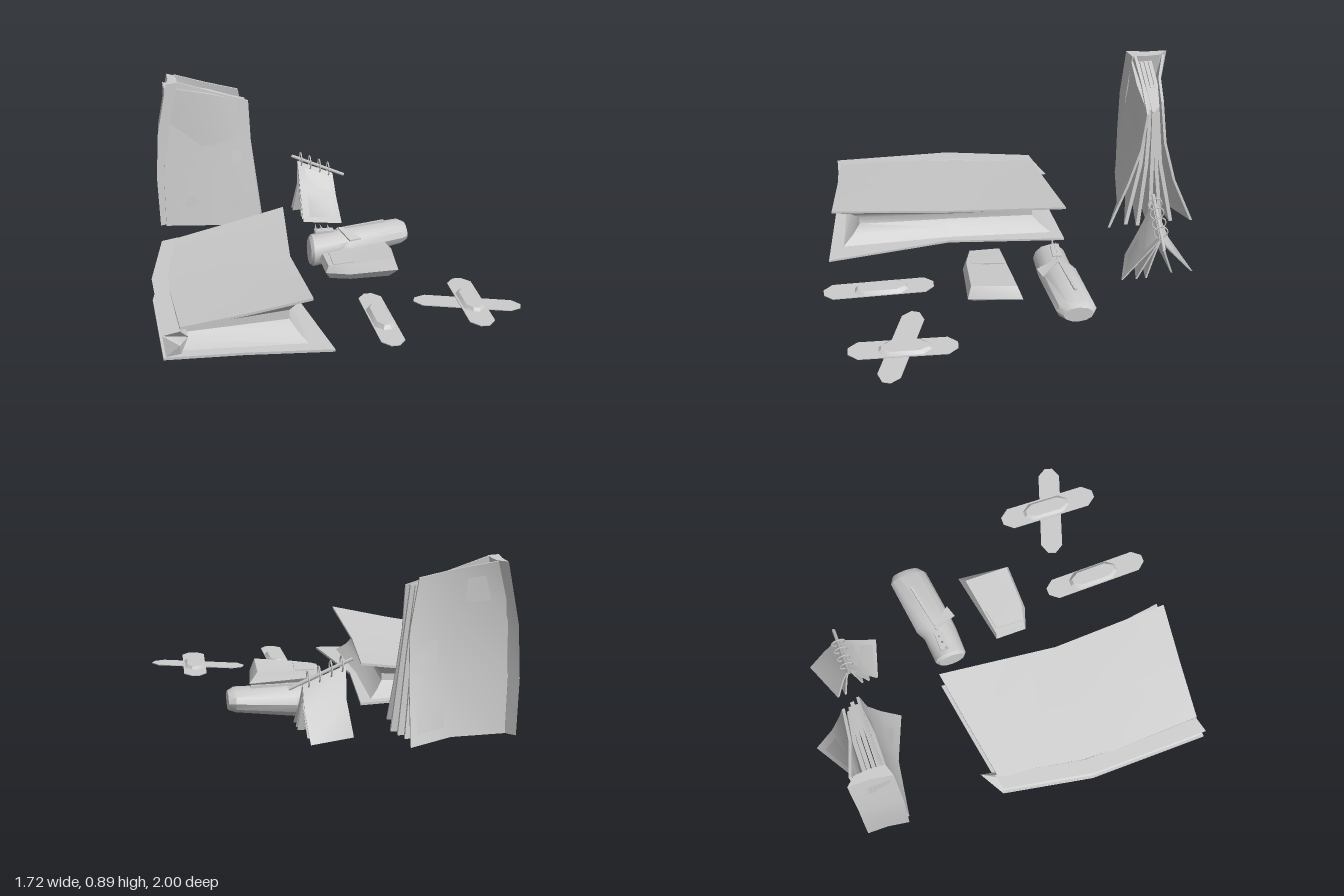
import * as THREE from 'three';
import { toCreasedNormals } from 'three/addons/utils/BufferGeometryUtils.js';

const material = new THREE.MeshStandardMaterial({ color: 0xcccccc, side: THREE.DoubleSide });
const lerp = THREE.MathUtils.lerp;

// Closed solid skinned through rings of equal point count
function loft(rings) {
  const tris = [], n = rings[0].length;
  const quad = (a, b, c, d) => tris.push([a, b, c], [a, c, d]);
  for (let i = 0; i + 1 < rings.length; i++)
    for (let j = 0; j < n; j++) {
      const k = (j + 1) % n;
      quad(rings[i][j], rings[i][k], rings[i + 1][k], rings[i + 1][j]);
    }
  const cap = (r, flip) => {
    for (let j = 0; j + 1 <= n - 2 - j; j++) {
      const q = [r[j], r[n - 1 - j], r[n - 2 - j], r[j + 1]];
      if (flip) q.reverse();
      quad(...q);
    }
  };
  cap(rings[0], false);
  cap(rings[rings.length - 1], true);
  // turn the faces outward
  let volume = 0;
  const v = tris.map(t => t.map(p => new THREE.Vector3(...p)));
  for (const [a, b, c] of v) volume += a.dot(b.clone().cross(c));
  const out = v.flatMap(([a, b, c]) => (volume < 0 ? [a, c, b] : [a, b, c]));
  return toCreasedNormals(new THREE.BufferGeometry().setFromPoints(out), 0.6);
}

// Thin board: each row of points is closed with an offset copy
const sheet = (rows, [dx, dy, dz]) =>
  loft(rows.map(r => [...r, ...r.map(p => [p[0] + dx, p[1] + dy, p[2] + dz]).reverse()]));

function add(parent, name, geometry) {
  const mesh = new THREE.Mesh(geometry, material);
  mesh.name = name;
  parent.add(mesh);
  return mesh;
}

function group(parent, name) {
  const g = new THREE.Group();
  g.name = name;
  parent.add(g);
  return g;
}

function lyingBook(root) {
  const g = group(root, 'lyingBook');
  add(g, 'topCover', sheet([
    [[-0.71, 0.205, -0.185], [-0.42, 0.25, -0.235], [-0.12, 0.3, -0.285]],
    [[-0.79, 0.2, 0.3], [-0.5, 0.24, 0.32], [-0.19, 0.285, 0.33]],
    [[-0.78, 0.225, 0.875], [-0.5, 0.275, 0.9], [-0.19, 0.34, 0.93]],
  ], [0, -0.012, 0]));
  add(g, 'bottomCover', sheet([
    [[-0.77, 0.083, -0.18], [-0.42, 0.083, -0.235], [-0.12, 0.083, -0.28]],
    [[-0.86, 0.083, 0.3], [-0.5, 0.083, 0.32], [-0.18, 0.083, 0.33]],
    [[-0.86, 0.083, 0.9], [-0.5, 0.083, 0.92], [-0.097, 0.083, 0.965]],
  ], [0, 0.012, 0]));
  // spine folded inward between two flared hinges
  add(g, 'spine', loft([[0.088, -0.18], [0, 0.28], [0, 0.895]].map(([d, z]) => [
    [-0.86 + d, 0.085, z], [-0.785 + d, 0.145, z], [-0.86 + d, 0.2, z],
    [-0.78 + d, 0.205, z - 0.02], [-0.74 + d, 0.145, z - 0.08], [-0.78 + d, 0.09, z - 0.02]])));
  // page block, hollowed on three sides
  const levels = [0, 0.2, 0.4, 0.6, 0.8, 1];
  add(g, 'pages', loft(levels.map(t => {
    const c = 0.1 * Math.sin(Math.PI * t);
    const p = (x, top, z) => [x, lerp(0.093, top, t), z];
    return [p(-0.69, 0.195, -0.16 + c), p(-0.18 - c * 0.8, 0.275, -0.22 + c),
      p(-0.21 - c * 0.8, 0.265, 0.33), p(-0.2 - c * 0.8, 0.315, 0.89 - c),
      p(-0.77, 0.21, 0.85 - c), p(-0.77, 0.19, 0.3)];
  })));
}

function standingBook(root) {
  const g = group(root, 'standingBook');
  add(g, 'frontCover', sheet([
    [[-0.71, 0.083, -0.67], [-0.42, 0.083, -0.625], [-0.195, 0.083, -0.53]],
    [[-0.71, 0.35, -0.685], [-0.42, 0.35, -0.675], [-0.215, 0.35, -0.63]],
    [[-0.69, 0.62, -0.705], [-0.42, 0.6, -0.705], [-0.228, 0.55, -0.69]],
    [[-0.62, 0.888, -0.72], [-0.43, 0.825, -0.725], [-0.235, 0.765, -0.715]],
  ], [0, 0, -0.014]));
  add(g, 'backCover', sheet([
    [[-0.71, 0.083, -0.85], [-0.42, 0.083, -0.87], [-0.205, 0.083, -1]],
    [[-0.71, 0.35, -0.845], [-0.42, 0.35, -0.85], [-0.22, 0.35, -0.89]],
    [[-0.69, 0.62, -0.855], [-0.42, 0.61, -0.835], [-0.235, 0.58, -0.83]],
    [[-0.62, 0.888, -0.885], [-0.45, 0.85, -0.83], [-0.28, 0.81, -0.81]],
  ], [0, 0, 0.014]));
  add(g, 'spine', loft([[-0.74, 0.083, 0], [-0.75, 0.35, 0], [-0.738, 0.6, 0], [-0.68, 0.888, -0.01]].map(([x, y, d]) => [
    [x, y, -0.68 + d], [x + 0.018, y, -0.79 + d], [x + 0.02, y, -0.895 + d],
    [x + 0.06, y, -0.85 + d], [x + 0.065, y, -0.78 + d], [x + 0.06, y, -0.7 + d]])));
  // leaves fanned out at the foot
  for (const f of [-0.75, -0.38, 0, 0.38, 0.75]) {
    const rows = [[0.09, 0.165, -0.165], [0.45, 0.07, -0.21], [0.77, 0.035, -0.25]].map(([y, w, x]) => {
      const rise = y > 0.7 ? 0.095 : 0;
      const z = -0.765 + f * w;
      return [[-0.69, y + rise, -0.775 + f * 0.06], [-0.45, y + rise * 0.5, lerp(-0.77 + f * 0.07, z, 0.25)],
        [x - Math.abs(f) * 0.05, y, z]];
    });
    add(g, 'leaves', sheet(rows, [0, 0, 0.02]));
  }
}

function notepad(root) {
  const g = group(root, 'ringNotepad');
  const a = new THREE.Vector3(0.005, 0.43, -0.715), b = new THREE.Vector3(0.3, 0.3, -0.715);
  add(g, 'rod', new THREE.TubeGeometry(new THREE.LineCurve3(a, b), 1, 0.009, 6));
  for (const x of [0.055, 0.106, 0.16, 0.21]) {
    const ring = add(g, 'ring', new THREE.TorusGeometry(0.036, 0.004, 5, 12));
    ring.rotation.y = Math.PI / 2;
    ring.position.set(x, 0.432 - x * 0.43, -0.715);
  }
  // leaning leaves: foot depth at left and right
  for (const [zl, zr] of [[-0.585, -0.525], [-0.63, -0.6], [-0.665, -0.65], [-0.77, -0.79], [-0.81, -0.895]])
    add(g, 'leaf', sheet([
      [[0.035, 0.4, -0.715], [0.235, 0.315, -0.715]],
      [[0.04, 0.25, lerp(-0.715, zl, 0.45)], [0.238, 0.21, lerp(-0.715, zr, 0.45)]],
      [[zl > -0.7 ? 0.045 : 0.015, 0.085, zl], [zl > -0.7 ? 0.25 : 0.225, 0.085, zr]],
    ], [0, 0, 0.009]));
}

function pouch(root) {
  const g = group(root, 'pouch');
  // body rings: x, y, z, half height, half depth
  const body = [[0, 0.082, -0.175, 0.07, 0.07], [0.015, 0.085, -0.178, 0.085, 0.085], [0.15, 0.1, -0.185, 0.082, 0.09],
    [0.2, 0.105, -0.2, 0.08, 0.1], [0.5, 0.132, -0.24, 0.06, 0.1], [0.535, 0.13, -0.245, 0.045, 0.075]];
  add(g, 'body', loft(body.map(([x, y, z, h, d]) => Array.from({ length: 12 }, (_, i) => {
    const t = i * Math.PI / 6;
    return [x, y + h * Math.sin(t), z + d * Math.cos(t)];
  }))));
  add(g, 'zip', sheet([[[0.15, 0.19, -0.205], [0.42, 0.2, -0.255]], [[0.15, 0.19, -0.192], [0.42, 0.2, -0.24]]], [0, -0.02, 0]));
  add(g, 'pullTab', sheet([[[0.16, 0.195, -0.2], [0.185, 0.195, -0.2]], [[0.2, 0.165, -0.085], [0.265, 0.165, -0.105]]], [0, -0.008, 0]));
  // pointed ends poking from the opening
  for (const [x, z, lean, h] of [[0.04, -0.19, 0.15, 0.085], [0.075, -0.2, 0.4, 0.07], [0.11, -0.205, 0.25, 0.06]]) {
    const tip = add(g, 'pencilTip', new THREE.ConeGeometry(0.013, h, 5));
    tip.position.set(x, 0.175 + h * 0.2, z);
    tip.rotation.z = lean;
  }
  add(g, 'opening', new THREE.BoxGeometry(0.1, 0.02, 0.045)).position.set(0.085, 0.178, -0.2);
}

function eraser(root) {
  const g = group(root, 'eraser');
  add(g, 'block', loft([
    [[0.03, 0.1, 0.1], [0.34, 0.1, 0.06], [0.33, 0.1, 0.25], [0.13, 0.1, 0.25], [0.03, 0.1, 0.22]],
    [[0.005, 0.145, 0.08], [0.4, 0.14, 0.01], [0.367, 0.145, 0.285], [0.12, 0.14, 0.285], [0.005, 0.14, 0.245]],
    [[0.02, 0.175, 0.085], [0.355, 0.195, 0.035], [0.345, 0.21, 0.265], [0.13, 0.187, 0.268], [0.02, 0.175, 0.24]],
  ]));
  add(g, 'label', sheet([[[0.05, 0.182, 0.095], [0.16, 0.19, 0.075]], [[0.045, 0.182, 0.24], [0.145, 0.191, 0.245]]], [0, -0.01, 0]));
}

// Flat outline with clipped ends, raised between two levels
function strip(parent, name, [cx, cz], length, width, angle, y0, y1, inset = 0) {
  const ring = (y, s) => {
    const l = length / 2 - s, w = width / 2 - s;
    const half = [[-l, -w * 0.35], [-l + width * 0.4, -w], [l - width * 0.4, -w], [l, -w * 0.35]];
    return [...half, ...half.map(([u, v]) => [u, -v]).reverse()].map(([u, v]) => [
      cx + u * Math.cos(angle) - v * Math.sin(angle), y, cz + u * Math.sin(angle) + v * Math.cos(angle)]);
  };
  add(parent, name, loft([ring(y0, 0), ring(y1, inset)]));
}

export function createModel() {
  const root = new THREE.Group();
  root.name = 'stationerySet';
  lyingBook(root);
  standingBook(root);
  notepad(root);
  pouch(root);
  eraser(root);
  // single and crossed plasters
  const single = group(root, 'plaster');
  strip(single, 'tape', [0.173, 0.718], 0.555, 0.112, Math.PI / 2, 0.1, 0.104);
  strip(single, 'pad', [0.175, 0.705], 0.27, 0.105, Math.PI / 2, 0.103, 0.122, 0.016);
  const cross = group(root, 'crossedPlasters');
  strip(cross, 'lowerTape', [0.617, 0.632], 0.51, 0.115, 0.34, 0.1, 0.104);
  strip(cross, 'upperTape', [0.637, 0.625], 0.53, 0.12, 1.61, 0.104, 0.108);
  strip(cross, 'pad', [0.638, 0.615], 0.26, 0.105, 1.61, 0.106, 0.122, 0.016);
  return root;
}
